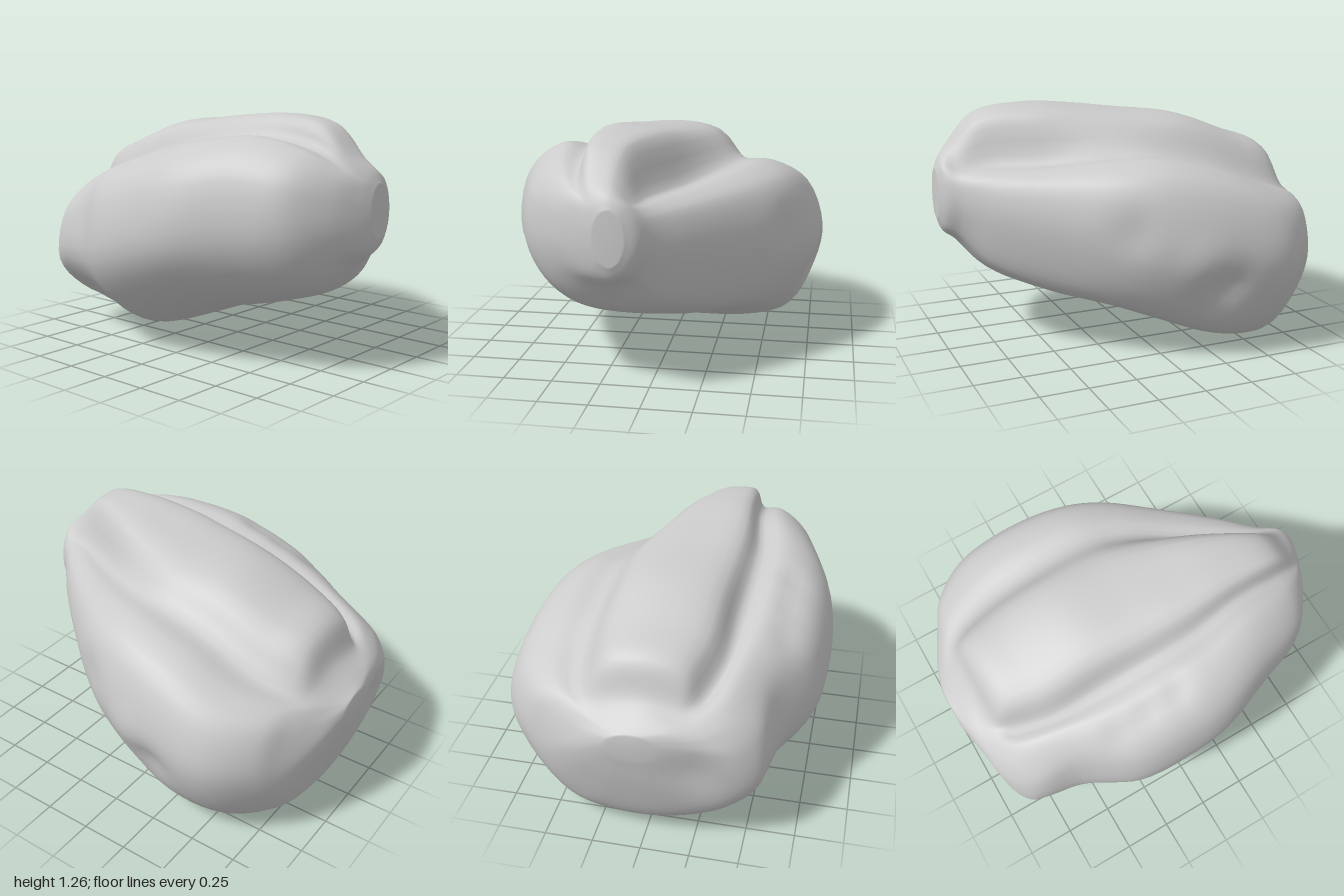
import * as THREE from 'three';

// Cross-sections from front to back:
// z, left x, right x, bottom, top, left shoulder y, right shoulder y, slab left x, slab right x, roundness
const SECTIONS = [
  [1.0, -0.21, -0.07, 0.68, 0.94, 0.90, 0.89, -0.17, -0.11, 1],
  [0.97, -0.29, -0.01, 0.61, 1.0, 0.94, 0.92, -0.22, -0.10, 1],
  [0.90, -0.43, 0.05, 0.55, 1.07, 1.0, 0.92, -0.28, -0.09, 0.6],
  [0.76, -0.59, 0.20, 0.40, 1.21, 1.09, 0.95, -0.31, -0.04, 0.2],
  [0.50, -0.69, 0.43, 0.30, 1.25, 1.16, 0.99, -0.33, 0.12, 0],
  [0.22, -0.79, 0.65, 0.23, 1.23, 1.13, 1.03, -0.36, 0.26, 0],
  [0.0, -0.81, 0.74, 0.15, 1.21, 1.09, 1.04, -0.36, 0.33, 0],
  [-0.30, -0.78, 0.80, 0.04, 1.18, 1.0, 0.98, -0.34, 0.35, 0],
  [-0.58, -0.63, 0.79, 0.0, 1.08, 0.91, 0.87, -0.32, 0.36, 0],
  [-0.78, -0.59, 0.65, 0.04, 1.0, 0.83, 0.80, -0.25, 0.32, 0],
  [-0.86, -0.56, 0.53, 0.10, 0.83, 0.79, 0.76, -0.2, 0.27, 0.4],
  [-0.95, -0.43, 0.34, 0.34, 0.75, 0.72, 0.71, -0.16, 0.16, 1],
  [-1.0, -0.08, 0.15, 0.57, 0.71, 0.69, 0.69, 0.0, 0.07, 1],
];

// Local hollows (positive depth) and bulges: x, y, z, radius, depth
const DENTS = [
  [0.75, 0.40, -0.25, 0.11, 0.04],
  [0.66, 0.70, 0.22, 0.12, 0.025],
  [0.74, 0.54, -0.1, 0.12, -0.02],
  [-0.58, 0.90, -0.32, 0.08, 0.03],
  [-0.58, 0.98, -0.16, 0.08, 0.03],
  [-0.58, 1.03, 0.0, 0.08, 0.03],
  [-0.28, 0.5, -0.92, 0.15, 0.04],
];

const mix = THREE.MathUtils.lerp;
const RING = 72, ROWS = 72;

// Closed outline: left flank, left shoulder, raised slab, right shoulder, right flank, base
function sectionCurve([z, xl, xr, yb, yt, sl, sr, a, b, round]) {
  const w = xr - xl, ym = mix(yb, yt, 0.4), s = b - a;
  const flat = 1 - round;
  const tilt = 0.04 * THREE.MathUtils.smoothstep(-z, -0.2, 0.3); // slab leans left towards the back
  const tuck = 0.07 * THREE.MathUtils.smoothstep(-z, 0.2, 0.8); // base narrows towards the back
  const outline = [
    [xl, ym],
    [xl + 0.02 * w, mix(ym, sl, 0.58)],
    [mix(xl, a, 0.3), sl - 0.07 * flat],
    [mix(xl, a, 0.65), sl],
    [a - 0.03 * s, sl - 0.02 * flat],
    [a + 0.11 * s, yt - 0.01 - tilt * flat],
    [a + 0.45 * s, yt],
    [a + 0.8 * s, yt - 0.04 * flat],
    [b + 0.03 * s, sr - 0.01 * flat],
    [mix(b, xr, 0.42), sr - 0.02 * flat],
    [mix(b, xr, 0.8), mix(ym, sr, 0.77)],
    [xr, mix(ym, sr, 0.25)],
    [xr - (0.015 + tuck * 0.4) * w, mix(ym, yb, 0.25)],
    [xr - (0.1 + tuck) * w, mix(ym, yb, 0.8)],
    [xr - (0.22 + tuck) * w, yb + 0.015],
    [xl + 0.52 * w, yb],
    [xl + (0.27 + tuck) * w, yb + 0.04],
    [xl + (0.1 + tuck * 0.7) * w, mix(ym, yb, 0.55)],
  ];
  // Ease the outline towards a plain oval near both ends
  const cx = (xl + xr) / 2, cy = (yb + yt) / 2, hy = (yt - yb) / 2;
  return new THREE.CatmullRomCurve3(outline.map(([x, y]) => {
    const r = Math.hypot((x - cx) / (w / 2), (y - cy) / hy);
    return new THREE.Vector3(mix(x, cx + (x - cx) / r, round), mix(y, cy + (y - cy) / r, round), z);
  }), true, 'centripetal');
}

function boulderGeometry() {
  // Sample each section evenly by parameter, then run smooth curves lengthwise
  const curves = SECTIONS.map(sectionCurve);
  const columns = [];
  for (let j = 0; j < RING; j++) {
    columns.push(new THREE.CatmullRomCurve3(curves.map(c => c.getPoint(j / RING)), false, 'centripetal'));
  }
  const pos = [], index = [], p = new THREE.Vector3();
  for (let i = 0; i <= ROWS; i++) {
    for (let j = 0; j < RING; j++) {
      columns[j].getPoint(i / ROWS, p);
      pos.push(p.x, p.y, p.z);
      if (i === ROWS) continue;
      const k = (j + 1) % RING;
      const a = i * RING + j, b = i * RING + k, c = a + RING, d = b + RING;
      index.push(a, b, c, b, d, c);
    }
  }
  // Close the blunt ends
  const front = pos.length / 3, back = front + 1, last = ROWS * RING;
  pos.push(-0.14, 0.81, 1.0, 0.035, 0.64, -1.0);
  for (let j = 0; j < RING; j++) {
    const k = (j + 1) % RING;
    index.push(front, k, j, back, last + j, last + k);
  }
  const geo = new THREE.BufferGeometry();
  geo.setAttribute('position', new THREE.Float32BufferAttribute(pos, 3));
  geo.setIndex(index);
  geo.computeVertexNormals();

  // Press the hollows in along the surface normals
  const at = geo.attributes.position, nor = geo.attributes.normal;
  const n = new THREE.Vector3(), centre = new THREE.Vector3();
  for (let i = 0; i < at.count; i++) {
    p.fromBufferAttribute(at, i);
    n.fromBufferAttribute(nor, i);
    let push = 0;
    for (const [x, y, z, r, depth] of DENTS) {
      push += depth * Math.exp(-p.distanceToSquared(centre.set(x, y, z)) / (r * r));
    }
    p.addScaledVector(n, -push);
    at.setXYZ(i, p.x, p.y, p.z);
  }
  geo.computeVertexNormals();
  return geo;
}

export function createModel() {
  const group = new THREE.Group();
  group.name = 'rock';
  const boulder = new THREE.Mesh(boulderGeometry(), new THREE.MeshStandardMaterial({ color: 0xcccccc }));
  boulder.name = 'boulder';
  group.add(boulder);
  return group;
}
